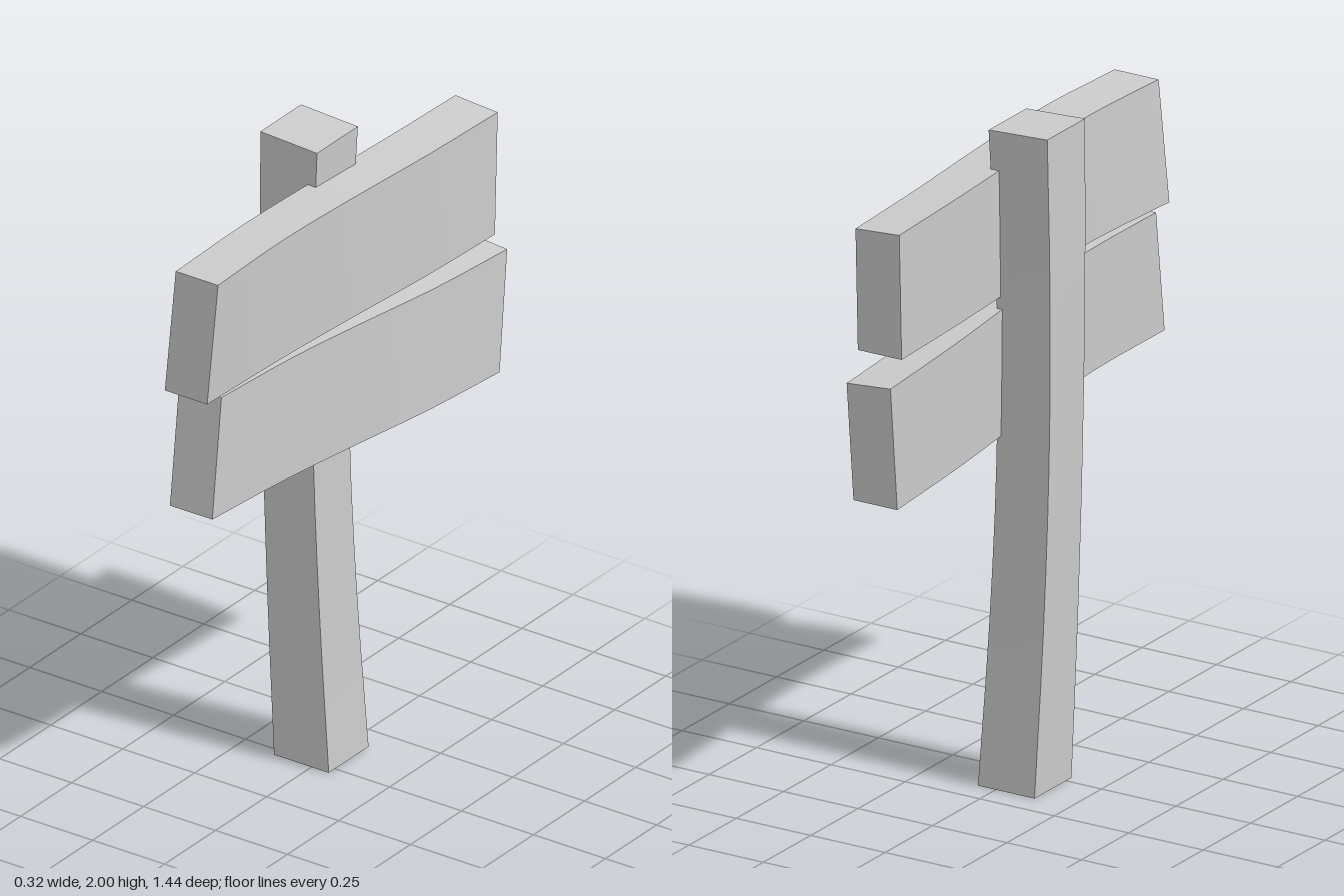
import * as THREE from 'three';

const material = new THREE.MeshStandardMaterial({ color: 0xcccccc });

// Gently bent four-sided beam: each section lists four corners,
// counter-clockwise when looking back against the direction of travel.
function beam(name, sections, steps = 12) {
  const rails = [0, 1, 2, 3].map((c) =>
    new THREE.CatmullRomCurve3(sections.map((s) => new THREE.Vector3(...s[c]))));
  const pts = rails.map((r) =>
    Array.from({ length: steps + 1 }, (_, i) => r.getPoint(i / steps)));
  const pos = [], index = [];
  const add = (p) => pos.push(p.x, p.y, p.z) / 3 - 1;

  // Long sides: smooth along the length, sharp at the corners
  for (let c = 0; c < 4; c++) {
    const base = pos.length / 3;
    for (let i = 0; i <= steps; i++) {
      add(pts[c][i]);
      add(pts[(c + 1) % 4][i]);
    }
    for (let i = 0; i < steps; i++) {
      const a = base + i * 2;
      index.push(a, a + 1, a + 3, a, a + 3, a + 2);
    }
  }
  // End caps
  const s = pts.map((p) => add(p[0]));
  index.push(s[0], s[2], s[1], s[0], s[3], s[2]);
  const e = pts.map((p) => add(p[steps]));
  index.push(e[0], e[1], e[2], e[0], e[2], e[3]);

  const geometry = new THREE.BufferGeometry();
  geometry.setAttribute('position', new THREE.Float32BufferAttribute(pos, 3));
  geometry.setIndex(index);
  geometry.computeVertexNormals();
  const mesh = new THREE.Mesh(geometry, material);
  mesh.name = name;
  return mesh;
}

// Post section: height, x range, z range, drop of the +x edge
const postSection = ([y, x0, x1, z0, z1, drop = 0]) => [
  [x0, y, z1], [x1, y - drop, z1], [x1, y - drop, z0], [x0, y, z0],
];

// Board section: bottom z, y, x and top z, y, x of the inner face, drop of the outer top edge
const THICKNESS = 0.147;
const boardSection = ([zb, yb, xb, zt, yt, xt, drop = 0]) => [
  [xb + THICKNESS, yb, zb], [xb, yb, zb], [xt, yt, zt], [xt + THICKNESS, yt - drop, zt],
];

export function createModel() {
  const group = new THREE.Group();
  group.name = 'signpost';

  group.add(beam('post', [
    [0, -0.13, 0.06, -0.165, 0.03],
    [0.5, -0.145, 0.036, -0.142, 0.041],
    [1.0, -0.155, 0.021, -0.128, 0.05],
    [1.5, -0.16, 0.02, -0.13, 0.055],
    [2.0, -0.16, 0.037, -0.145, 0.055, 0.01],
  ].map(postSection)));

  group.add(beam('upperBoard', [
    [0.72, 1.5, -0.02, 0.695, 1.877, 0],
    [0.38, 1.503, -0.005, 0.37, 1.886, 0.002],
    [0.03, 1.493, 0.005, 0.02, 1.879, 0.005, 0.004],
    [-0.32, 1.473, 0.008, -0.33, 1.862, 0.003, 0.008],
    [-0.65, 1.462, 0.008, -0.675, 1.85, 0, 0.01],
  ].map(boardSection)));

  group.add(beam('lowerBoard', [
    [0.695, 1.12, -0.02, 0.65, 1.492, -0.02],
    [0.35, 1.107, -0.004, 0.31, 1.483, -0.008, 0.003],
    [0.01, 1.076, 0.005, -0.03, 1.457, 0, 0.008],
    [-0.33, 1.038, 0.008, -0.37, 1.422, 0.002, 0.012],
    [-0.67, 1.012, 0.01, -0.717, 1.396, 0.003, 0.012],
  ].map(boardSection)));

  return group;
}
